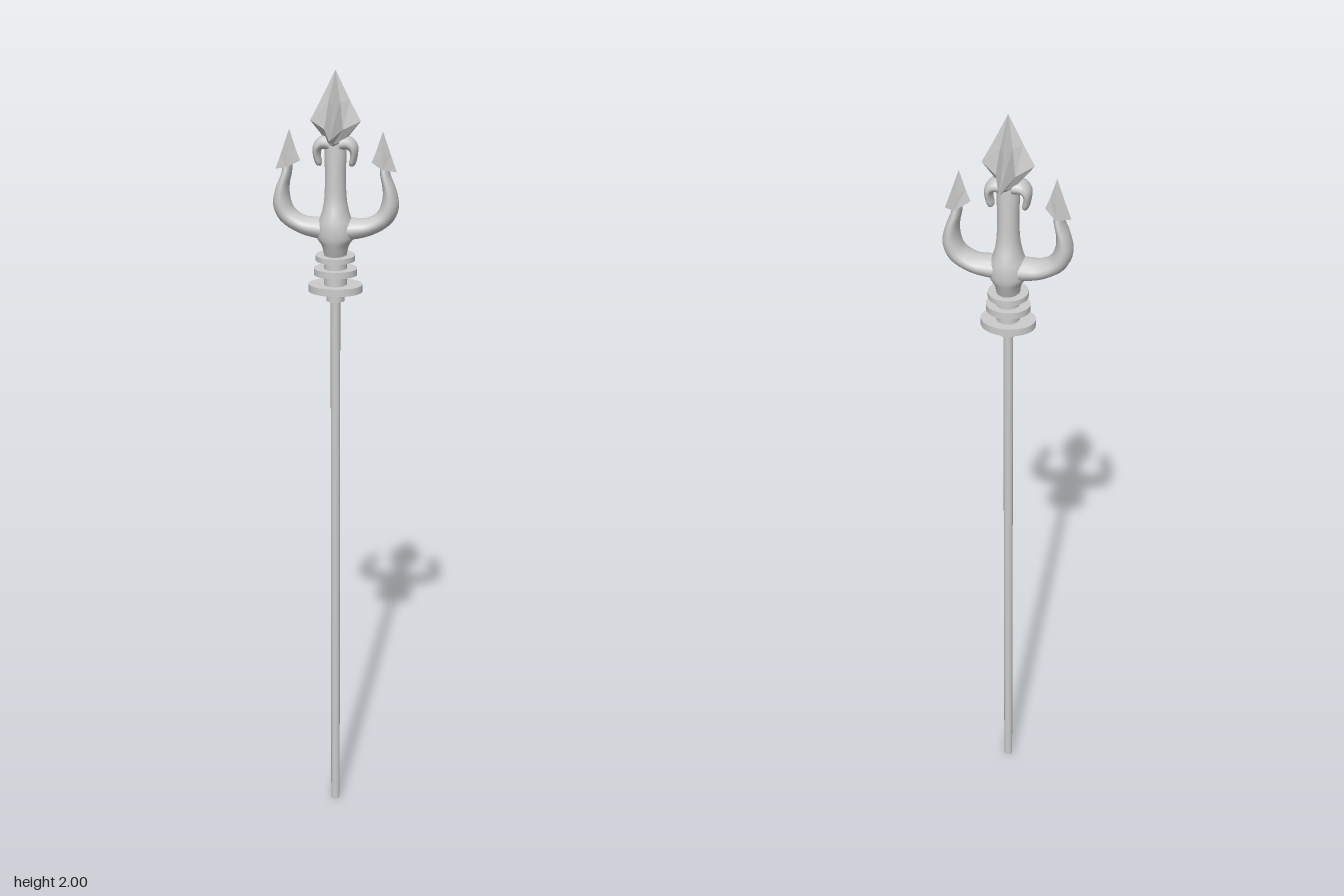
import * as THREE from 'three';

const smooth = new THREE.MeshStandardMaterial({ color: 0xcccccc, side: THREE.DoubleSide });
const faceted = new THREE.MeshStandardMaterial({ color: 0xcccccc, flatShading: true, side: THREE.DoubleSide });

// Skin a stack of equal-length rings (points run from +x towards +z).
function skin(rings, flip = false) {
  const n = rings[0].length, index = [];
  for (let i = 0; i < rings.length - 1; i++) {
    for (let j = 0; j < n; j++) {
      const a = i * n + j, b = i * n + (j + 1) % n, c = a + n, d = b + n;
      if (flip) index.push(a, b, c, b, d, c);
      else index.push(a, c, b, b, c, d);
    }
  }
  const g = new THREE.BufferGeometry();
  g.setAttribute('position', new THREE.Float32BufferAttribute(rings.flat(2), 3));
  g.setIndex(index);
  g.computeVertexNormals();
  return g;
}

// Loft elliptical sections spanning an outer and an inner outline.
// Each section: [outerX, outerY, innerX, innerY, halfDepth, centreZ]; side = -1 mirrors in x.
function loft(sections, { side = 1, sides = 16, steps = 0 } = {}) {
  const outer = new THREE.CatmullRomCurve3(sections.map(s => new THREE.Vector3(s[0], s[1], s[4])));
  const inner = new THREE.CatmullRomCurve3(sections.map(s => new THREE.Vector3(s[2], s[3], s[5])));
  const count = steps || sections.length - 1;
  const rings = [];
  for (let i = 0; i <= count; i++) {
    const o = outer.getPoint(i / count), p = inner.getPoint(i / count);
    const ring = [];
    for (let j = 0; j < sides; j++) {
      const a = (j / sides) * Math.PI * 2, c = Math.cos(a);
      ring.push([
        side * ((o.x + p.x) / 2 + (o.x - p.x) / 2 * c),
        (o.y + p.y) / 2 + (o.y - p.y) / 2 * c,
        p.z + o.z * Math.sin(a),
      ]);
    }
    rings.push(ring);
  }
  return skin(rings, side < 0);
}

export function createModel() {
  const group = new THREE.Group();
  const add = (name, geometry, material = smooth) => {
    const mesh = new THREE.Mesh(geometry, material);
    mesh.name = name;
    group.add(mesh);
    return mesh;
  };

  // Shaft
  add('shaft', new THREE.CylinderGeometry(0.012, 0.012, 1.47, 12)).position.y = 0.735;

  // Collar: [name, centre y, height, radius x, radius z]
  for (const [name, y, h, rx, rz] of [
    ['collarFerrule', 1.463, 0.024, 0.022, 0.022],
    ['collarNeck', 1.53, 0.12, 0.028, 0.032],
    ['collarLowerDisc', 1.484, 0.018, 0.066, 0.054],
    ['collarMiddleDisc', 1.525, 0.016, 0.053, 0.048],
    ['collarUpperDisc', 1.559, 0.013, 0.048, 0.05],
  ]) {
    const disc = add(name, new THREE.CylinderGeometry(1, 1, h, 24));
    disc.position.y = y;
    disc.scale.set(rx, 1, rz);
  }

  // Hub swelling into the central column: [y, half width, half depth]
  const column = [
    [1.565, 0.027, 0.032], [1.59, 0.033, 0.042], [1.61, 0.045, 0.048], [1.64, 0.043, 0.049],
    [1.665, 0.034, 0.044], [1.70, 0.027, 0.034], [1.76, 0.025, 0.03], [1.81, 0.026, 0.028],
    [1.86, 0.022, 0.026],
  ].map(([y, w, d]) => [w, y, -w, y, d, 0]);
  add('hubAndColumn', loft(column, { steps: 28, sides: 20 }));

  // Curved side prongs with barbed tips, and drooping hooks under the main point
  const prong = [
    [0, 1.60, 0, 1.655, 0.036, 0], [0.045, 1.605, 0.045, 1.655, 0.036, -0.003],
    [0.09, 1.617, 0.074, 1.656, 0.035, -0.005], [0.134, 1.645, 0.10, 1.672, 0.035, -0.006],
    [0.151, 1.682, 0.111, 1.70, 0.035, -0.006], [0.145, 1.722, 0.112, 1.73, 0.033, -0.006],
    [0.13, 1.76, 0.106, 1.76, 0.028, -0.006], [0.125, 1.79, 0.104, 1.79, 0.02, -0.006],
  ];
  const barb = [
    [0.117, 1.775, 0.117, 1.775, 0, -0.006], [0.145, 1.767, 0.085, 1.788, 0.034, -0.006],
    [0.131, 1.805, 0.096, 1.815, 0.023, -0.006], [0.111, 1.862, 0.111, 1.862, 0, -0.006],
  ];
  const hook = [
    [0.012, 1.852, 0.012, 1.815, 0.028, 0], [0.035, 1.848, 0.03, 1.818, 0.029, 0],
    [0.052, 1.83, 0.035, 1.812, 0.027, 0], [0.053, 1.805, 0.035, 1.80, 0.022, 0],
    [0.046, 1.782, 0.032, 1.785, 0.015, 0], [0.036, 1.778, 0.036, 1.778, 0, 0],
  ];
  for (const [label, side] of [['left', 1], ['right', -1]]) {
    add(label + 'Prong', loft(prong, { side, steps: 28 }));
    add(label + 'Barb', loft(barb, { side, sides: 4 }), faceted);
    add(label + 'Hook', loft(hook, { side, steps: 16, sides: 12 }));
  }

  // Main point: four-bladed star section, deeper along z than x
  // Each level: [x blade radius, its y, z blade radius, its y, valley x, valley z]
  const levels = [
    [0.012, 1.82, 0.022, 1.825, 0.012, 0.016],
    [0.022, 1.838, 0.035, 1.836, 0.016, 0.022],
    [0.06, 1.884, 0.098, 1.853, 0.022, 0.03],
    [0.034, 1.932, 0.05, 1.927, 0.014, 0.019],
    [0, 2, 0, 2, 0, 0],
  ];
  const star = levels.map(([rx, yx, rz, yz, vx, vz]) => {
    const ym = (yx + yz) / 2;
    return [
      [rx, yx, 0], [vx, ym, vz], [0, yz, rz], [-vx, ym, vz],
      [-rx, yx, 0], [-vx, ym, -vz], [0, yz, -rz], [vx, ym, -vz],
    ];
  });
  add('mainPoint', skin(star), faceted);

  return group;
}
